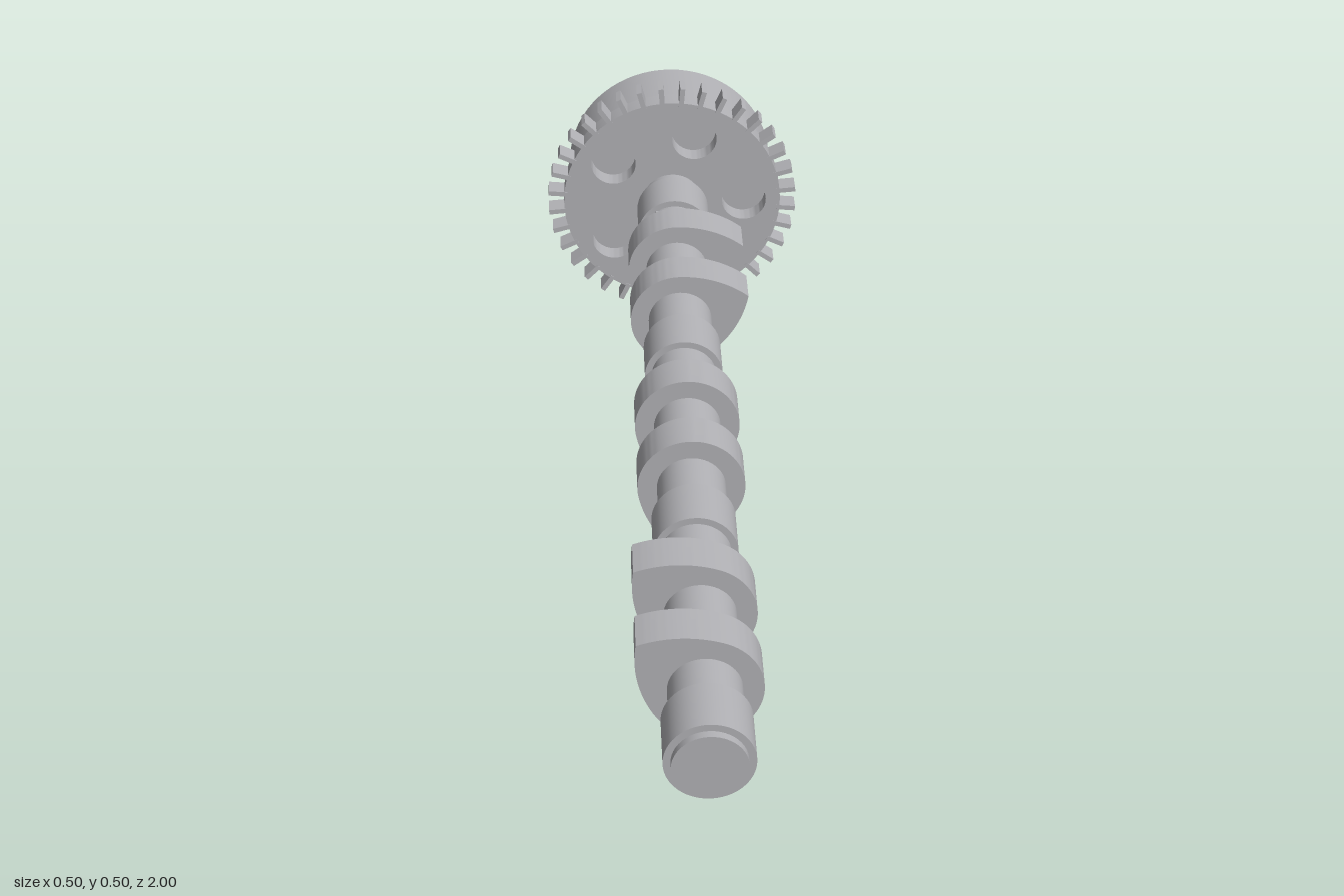
import * as THREE from 'three';
import { toCreasedNormals } from 'three/addons/utils/BufferGeometryUtils.js';

const AXIS_Y = 0.254;
const steel = new THREE.MeshStandardMaterial({ color: 0xb2b2b6 });
steel.name = 'steel grey';
const dark = new THREE.MeshStandardMaterial({ color: 0x68686c });
dark.name = 'dark bolt grey';

// Mesh helper
function part(parent, name, geometry, material = steel) {
  const mesh = new THREE.Mesh(geometry, material);
  mesh.name = name;
  parent.add(mesh);
  return mesh;
}

// Cylinder or prism lying along z, from z0 to z1
function rod(r, z0, z1, sides = 48) {
  const g = new THREE.CylinderGeometry(r, r, z1 - z0, sides);
  g.rotateX(Math.PI / 2);
  g.translate(0, 0, (z0 + z1) / 2);
  return g;
}

// Hexagonal prism with corners on +x and -x
function hex(r, z0, z1) {
  return toCreasedNormals(rod(r, z0, z1, 6).rotateZ(Math.PI / 6 * 3), 0.5);
}

// Shape extruded along z, from z0 to z1
function slab(shape, z0, z1, curveSegments) {
  const g = new THREE.ExtrudeGeometry(shape, { depth: z1 - z0, bevelEnabled: false, curveSegments });
  g.translate(0, 0, z0);
  return toCreasedNormals(g, 0.5);
}

// Cam outline: base circle with two convex flanks meeting at a pointed tip on +x
function camShape() {
  const base = 0.094, tip = 0.139, a = THREE.MathUtils.degToRad(70);
  const d = (tip * tip - base * base) / (2 * (base - tip * Math.cos(a)));
  const cx = -d * Math.cos(a), cy = d * Math.sin(a);
  const end = Math.atan2(cy, tip - cx);
  const s = new THREE.Shape();
  s.absarc(0, 0, base, a, 2 * Math.PI - a, false);
  s.absarc(cx, cy, base + d, -a, -end, false);
  s.absarc(cx, -cy, base + d, end, a, false);
  return s;
}

export function createModel() {
  const model = new THREE.Group();
  model.name = 'camshaft';
  const body = new THREE.Group();
  body.name = 'camshaftAssembly';
  body.position.y = AXIS_Y;
  model.add(body);

  // Shaft, bearing journals and hexagonal collar
  part(body, 'shaft', rod(0.06, -0.82, 1));
  for (const z of [0.935, 0.392, -0.172, -0.715]) {
    part(body, 'journal', rod(0.072, z - 0.051, z + 0.051));
  }
  part(body, 'hexCollar', hex(0.075, -0.637, -0.59));

  // Three pairs of cams, 120 degrees apart
  const shape = camShape();
  const cams = [[0.77, 141], [0.576, 141], [0.206, 261], [0.012, 261], [-0.361, 21], [-0.555, 21]];
  for (const [z, angle] of cams) {
    const cam = part(body, 'camLobe', slab(shape, -0.039, 0.039, 24));
    cam.position.z = z;
    cam.rotation.z = THREE.MathUtils.degToRad(angle);
  }

  // Gear disc with five round holes
  const disc = new THREE.Shape();
  disc.absarc(0, 0, 0.221, 0, Math.PI * 2, false);
  for (let i = 0; i < 5; i++) {
    const a = i * Math.PI * 2 / 5;
    const hole = new THREE.Path();
    hole.absarc(0.147 * Math.cos(a), 0.147 * Math.sin(a), 0.045, 0, Math.PI * 2, true);
    disc.holes.push(hole);
  }
  part(body, 'gearDisc', slab(disc, -0.84, -0.8, 36));

  // Gear teeth
  const tooth = new THREE.BoxGeometry(0.038, 0.01, 0.042);
  for (let i = 0; i < 36; i++) {
    const a = (i + 0.5) * Math.PI / 18;
    const t = part(body, 'gearTooth', tooth);
    t.position.set(0.234 * Math.cos(a), 0.234 * Math.sin(a), -0.82);
    t.rotation.z = a;
  }

  // Drum behind the gear, with a shallow recess in its back face
  const profile = [[0, -0.972], [0.152, -0.972], [0.152, -0.982], [0.2085, -0.982], [0.2085, -0.84], [0, -0.84]]
    .map(([r, z]) => new THREE.Vector2(r, z));
  const drum = new THREE.LatheGeometry(profile, 72).rotateX(Math.PI / 2);
  part(body, 'drum', toCreasedNormals(drum, 0.5));

  // Centre bolt and ring of six small bolts
  part(body, 'centreBolt', hex(0.041, -1, -0.97), dark);
  for (let i = 0; i < 6; i++) {
    const a = i * Math.PI / 3;
    const bolt = part(body, 'rimBolt', hex(0.0155, -0.998, -0.975), dark);
    bolt.position.set(0.18 * Math.cos(a), 0.18 * Math.sin(a), 0);
  }

  return model;
}
